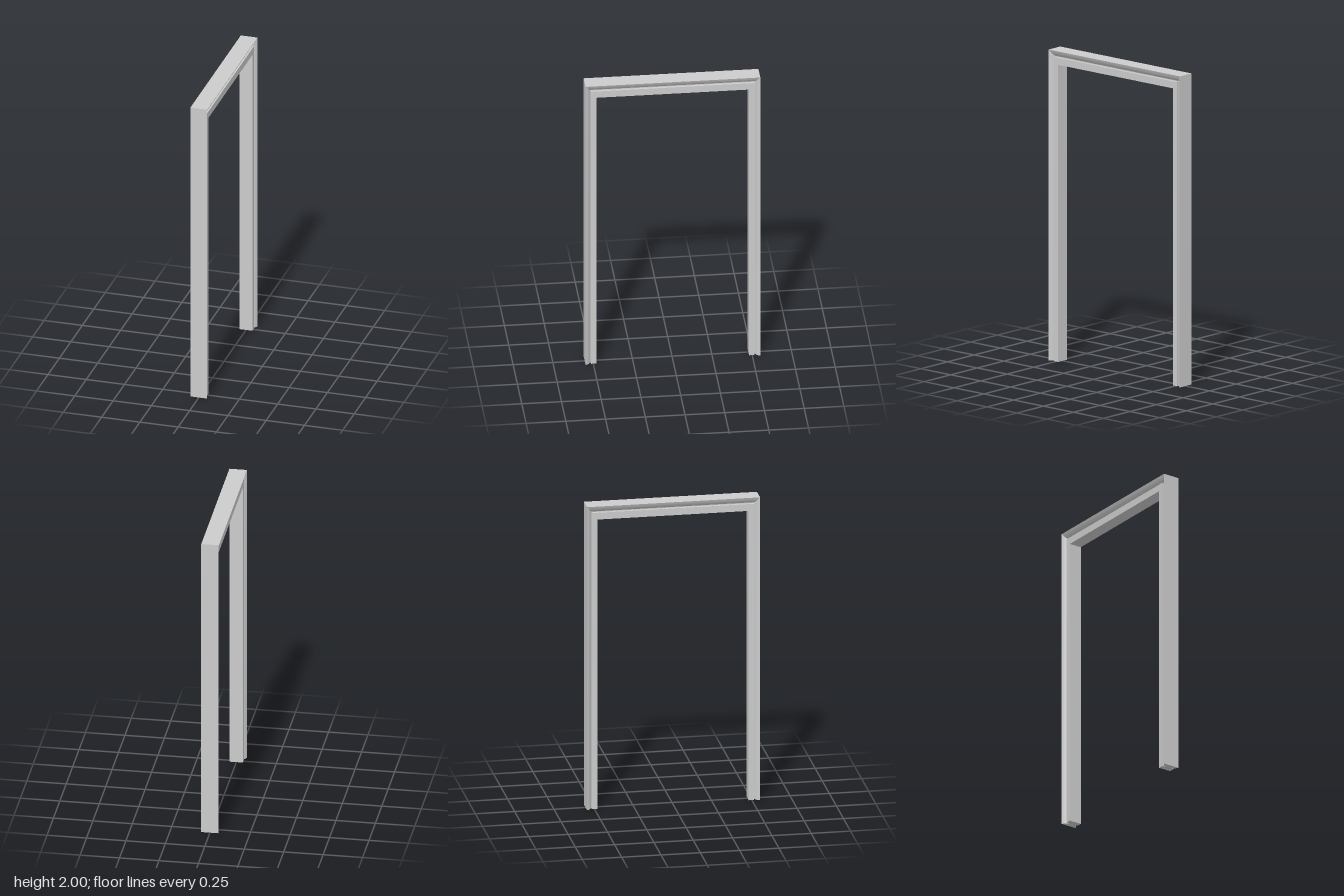
import * as THREE from 'three';
import { toCreasedNormals } from 'three/addons/utils/BufferGeometryUtils.js';

const HALF_WIDTH = 0.55, HEIGHT = 2;
const HEADER_SCALE = 0.09 / 0.07; // the header is a little deeper than the jambs

// Half of the moulding section: [inset from the outer edge, x]
const half = [
  [0, 0.055], [0.011, 0.049], [0.022, 0.04], [0.031, 0.026], // sloped casing
  [0.035, 0.026], [0.035, 0.042], [0.07, 0.042],             // groove and stop
];
const section = [...half, ...half.map(([d, x]) => [d, -x]).reverse()];

// Section placed at a foot (square cut) or at a top corner (mitred)
const station = (side, top) => section.map(([d, x]) =>
  new THREE.Vector3(x, top ? HEIGHT - d * HEADER_SCALE : 0, side * (HALF_WIDTH - d)));

// Skin between two stations, with an optional flat cap on the ground
function moulding(name, from, to, foot, material) {
  const pos = [];
  const tri = (a, b, c) => [a, b, c].forEach((p) => pos.push(p.x, p.y, p.z));
  const n = section.length;
  for (let j = 0; j < n; j++) {
    const k = (j + 1) % n;
    tri(from[j], from[k], to[k]);
    tri(from[j], to[k], to[j]);
  }
  if (foot) {
    const flat = foot.map((p) => new THREE.Vector2(p.x, p.z));
    for (const [a, b, c] of THREE.ShapeUtils.triangulateShape(flat, [])) {
      // positive area in (x, z) faces down
      const down = THREE.ShapeUtils.area([flat[a], flat[b], flat[c]]) > 0;
      if (down) tri(foot[a], foot[b], foot[c]);
      else tri(foot[a], foot[c], foot[b]);
    }
  }
  const geometry = new THREE.BufferGeometry();
  geometry.setAttribute('position', new THREE.Float32BufferAttribute(pos, 3));
  const mesh = new THREE.Mesh(toCreasedNormals(geometry, 0.6), material);
  mesh.name = name;
  return mesh;
}

export function createModel() {
  const group = new THREE.Group();
  group.name = 'doorFrame';
  const material = new THREE.MeshStandardMaterial({ color: 0xcccccc });

  const leftFoot = station(1, false), leftCorner = station(1, true);
  const rightCorner = station(-1, true), rightFoot = station(-1, false);

  group.add(
    moulding('frontJamb', leftFoot, leftCorner, leftFoot, material),
    moulding('header', leftCorner, rightCorner, null, material),
    moulding('backJamb', rightCorner, rightFoot, rightFoot, material),
  );
  return group;
}
